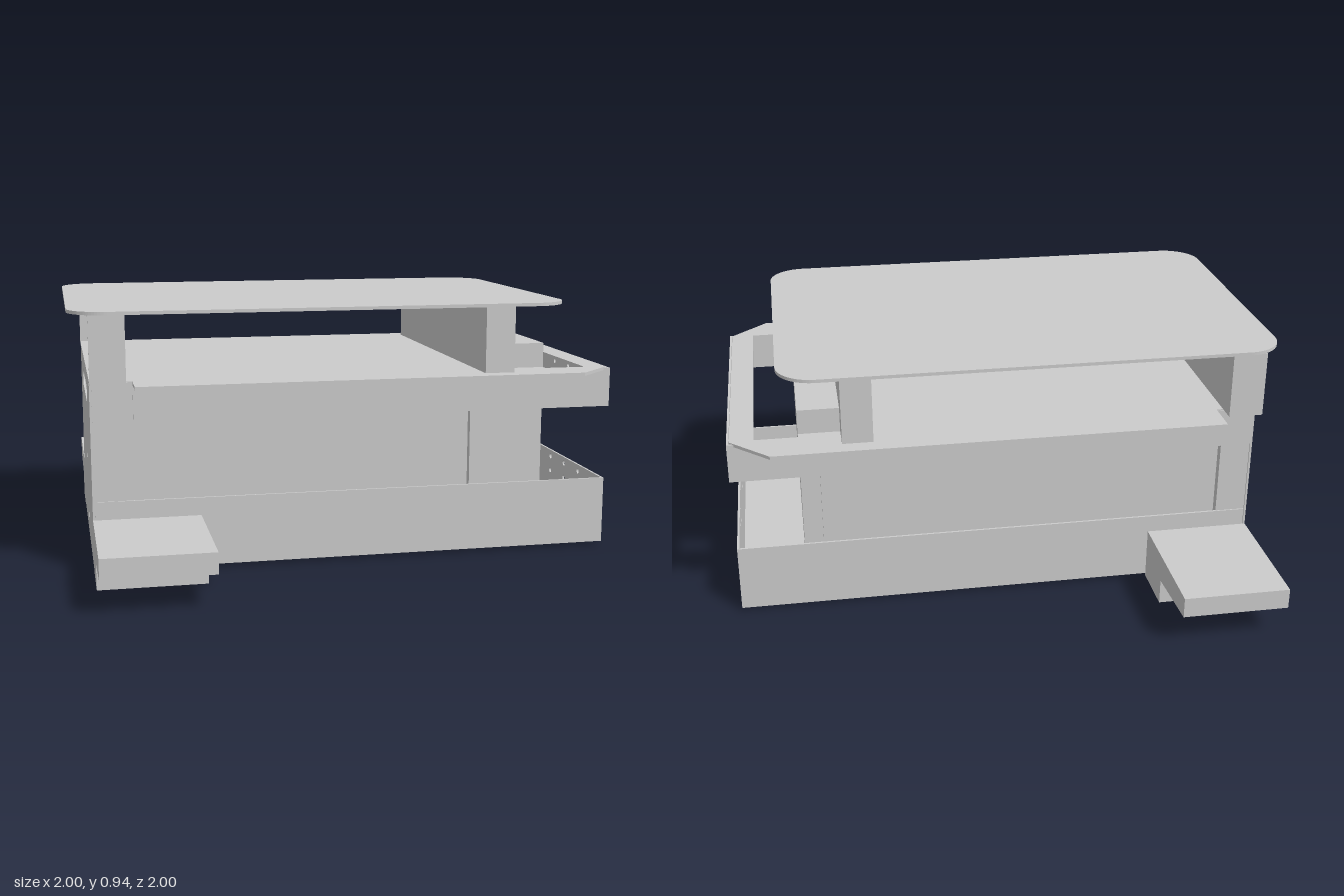
import * as THREE from 'three';

const T = 0.008; // sheet thickness
const mat = new THREE.MeshStandardMaterial({ color: 0xcccccc, flatShading: true, side: THREE.DoubleSide });

export function createModel() {
  const model = new THREE.Group();

  const add = (name, geo, parent = model) => {
    const m = new THREE.Mesh(geo, mat);
    m.name = name;
    parent.add(m);
    return m;
  };
  const group = (name) => {
    const g = new THREE.Group();
    g.name = name;
    model.add(g);
    return g;
  };
  // Box given by its min and max along each axis
  const box = (name, x0, x1, y0, y1, z0, z1, parent) =>
    add(name, new THREE.BoxGeometry(x1 - x0, y1 - y0, z1 - z0)
      .translate((x0 + x1) / 2, (y0 + y1) / 2, (z0 + z1) / 2), parent);
  const polygon = (pts) => new THREE.Shape(pts.map(([a, b]) => new THREE.Vector2(a, b)));
  const rect = (a0, a1, b0, b1) => polygon([[a0, b0], [a1, b0], [a1, b1], [a0, b1]]);
  const hole = (a, b, r) => new THREE.Path().absarc(a, b, r, 0, Math.PI * 2, true);
  const extrude = (shape, depth) =>
    new THREE.ExtrudeGeometry(shape, { depth, bevelEnabled: false, curveSegments: 10 });
  // Upright sheet across the width (z, y), and flat sheet (x, z)
  const crossSheet = (name, shape, x, parent) =>
    add(name, extrude(shape, T).rotateY(Math.PI / 2).translate(x, 0, 0), parent);
  const flatSheet = (name, shape, y, depth, parent) =>
    add(name, extrude(shape, depth).rotateX(-Math.PI / 2).translate(0, y, 0), parent);

  // Open base tray with vented end
  const base = group('baseTray');
  box('trayFloor', -0.93, 0.995, 0.01, 0.01 + T, -0.52, 0.52, base);
  for (const s of [-1, 1]) {
    const z = s * (0.52 - T / 2);
    box('traySide', -0.92, 0.995, 0.01, 0.26, z - T / 2, z + T / 2, base);
  }
  const trayEnd = rect(-0.52, 0.52, 0.01, 0.26);
  for (let i = -2; i <= 2; i++) {
    for (const y of [0.175, 0.235]) trayEnd.holes.push(hole(i * 0.145, y, 0.011));
  }
  for (const s of [-1, 1]) trayEnd.holes.push(hole(s * 0.435, 0.13, 0.022));
  crossSheet('trayVentedEnd', trayEnd, 0.995 - T, base);

  // Tall end panel with grip slot and two holes
  const panel = rect(-0.52, 0.52, 0.01, 0.69);
  const slot = new THREE.Path();
  slot.absarc(0.215, 0.6, 0.033, -Math.PI / 2, Math.PI / 2, false);
  slot.absarc(-0.215, 0.6, 0.033, Math.PI / 2, Math.PI * 1.5, false);
  slot.closePath();
  panel.holes.push(slot, hole(0, 0.32, 0.02), hole(0, 0.09, 0.02));
  crossSheet('endPanel', panel, -0.93, base);

  // Inner body, its raised block and side posts
  box('innerBody', -0.81, 0.75, 0.02, 0.677, -0.485, 0.485);
  box('raisedBlock', 0.6, 0.75, 0.677, 0.78, -0.485, 0.485);
  for (const s of [-1, 1]) {
    const side = (name, x0, x1, y0, y1, zIn, zOut) =>
      box(name, x0, x1, y0, y1, Math.min(s * zIn, s * zOut), Math.max(s * zIn, s * zOut));
    side('cornerPost', -0.922, -0.81, 0.02, 0.68, 0.485, 0.515);
    side('sidePost', 0.46, 0.68, 0.02, 0.68, 0.485, 0.511);
    side('cornerCover', -0.922, -0.78, 0.54, 0.685, 0.515, 0.523);
  }

  // Upper band with flanged shelf
  const band = group('upperBand');
  for (const s of [-1, 1]) {
    const z = s * (0.53 - T / 2);
    box('bandSide', -0.78, 1, 0.54, 0.685, z - T / 2, z + T / 2, band);
  }
  const bandEnd = rect(-0.53, 0.53, 0.54, 0.685);
  for (let i = -3; i <= 3; i++) {
    for (const y of [0.58, 0.64]) bandEnd.holes.push(hole(i * 0.145, y, 0.011));
  }
  crossSheet('bandVentedEnd', bandEnd, 1 - T, band);
  const shelf = polygon([
    [-0.78, -0.65], [0.85, -0.65], [0.99, -0.515], [0.99, 0.515], [0.85, 0.65], [-0.78, 0.65],
  ]);
  shelf.holes.push(rect(0.75, 0.905, -0.51, 0.51));
  flatSheet('flangedShelf', shelf, 0.677, 0.012, band);
  box('shelfEndStrip', -0.922, -0.78, 0.677, 0.689, -0.52, 0.52, band);

  // Cross supports: solid at one end, an open channel at the other
  box('frontSupport', 0.49, 0.6, 0.689, 0.93, -0.59, 0.59);
  const channel = group('channelSupport');
  box('channelWeb', -0.805 - T, -0.805, 0.689, 0.93, -0.59, 0.59, channel);
  box('channelFloor', -0.93, -0.805, 0.689, 0.689 + T, -0.59, 0.59, channel);
  box('channelTop', -0.93, -0.805, 0.93 - T, 0.93, -0.59, 0.59, channel);
  for (const s of [-1, 1]) {
    const z = s * (0.59 - T / 2);
    box('channelEnd', -0.93, -0.805, 0.689, 0.93, z - T / 2, z + T / 2, channel);
  }

  // Rounded top plate
  const [x0, x1, w, r] = [-1, 0.815, 0.6, 0.135];
  const top = new THREE.Shape();
  top.absarc(x1 - r, w - r, r, 0, Math.PI / 2);
  top.absarc(x0 + r, w - r, r, Math.PI / 2, Math.PI);
  top.absarc(x0 + r, r - w, r, Math.PI, Math.PI * 1.5);
  top.absarc(x1 - r, r - w, r, Math.PI * 1.5, Math.PI * 2);
  flatSheet('topPlate', top, 0.93, 0.012);

  // Hollow side brackets, open underneath
  for (const s of [-1, 1]) {
    const bracket = group(s > 0 ? 'frontBracket' : 'backBracket');
    const profile = [[0.52, 0], [0.715, 0], [0.715, 0.095], [1, 0.12], [1, 0.195], [0.52, 0.195]];
    for (const x of [-0.93 + T, -0.545]) {
      add('bracketSide', extrude(polygon(profile.map(([z, y]) => [s * z, y])), T)
        .rotateY(-Math.PI / 2).translate(x, 0, 0), bracket);
    }
    const part = (name, y0, y1, zIn, zOut) =>
      box(name, -0.93, -0.545, y0, y1, Math.min(s * zIn, s * zOut), Math.max(s * zIn, s * zOut), bracket);
    part('bracketTop', 0.195 - T, 0.195, 0.52, 1);
    part('bracketLip', 0.12, 0.195, 1 - T, 1);
    part('bracketLeg', 0, 0.095, 0.715 - T, 0.715);
  }
  return model;
}
